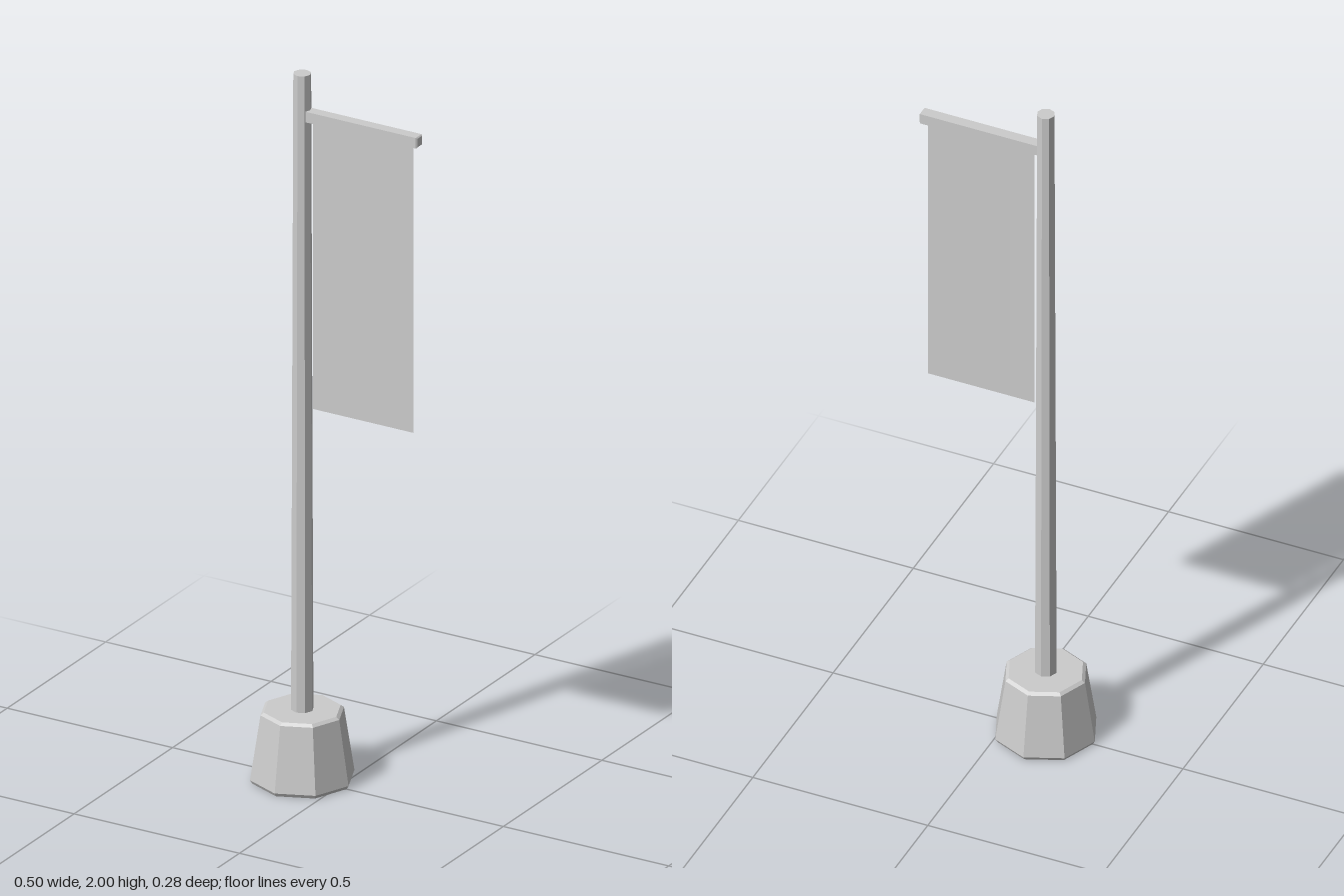
import * as THREE from 'three';

const POLE_X = -0.108;

export function createModel() {
  const model = new THREE.Group();
  model.name = 'bannerStand';

  const grey = new THREE.MeshStandardMaterial({ color: 0xcccccc, flatShading: true, side: THREE.DoubleSide });
  grey.name = 'light grey';

  const add = (name, geometry, x, y, z = 0) => {
    const mesh = new THREE.Mesh(geometry, grey);
    mesh.name = name;
    mesh.position.set(x, y, z);
    model.add(mesh);
    return mesh;
  };

  // Octagonal tapered foot with chamfered rims
  const profile = [[0, 0], [0.134, 0], [0.14, 0.01], [0.112, 0.191], [0.103, 0.198], [0, 0.198]]
    .map(([r, y]) => new THREE.Vector2(r, y));
  add('base', new THREE.LatheGeometry(profile, 8), POLE_X, 0);

  // Slightly tapered octagonal pole
  const poleBottom = 0.19;
  const poleHeight = 2 - poleBottom;
  add('pole', new THREE.CylinderGeometry(0.024, 0.03, poleHeight, 8), POLE_X, poleBottom + poleHeight / 2);

  // Square crossbar with small chamfers, reaching out from the pole
  const bevel = 0.003;
  const half = 0.015 - bevel;
  const square = new THREE.Shape([
    new THREE.Vector2(-half, -half), new THREE.Vector2(half, -half),
    new THREE.Vector2(half, half), new THREE.Vector2(-half, half),
  ]);
  const armStart = -0.1;
  const armEnd = 0.247;
  const arm = new THREE.ExtrudeGeometry(square, {
    depth: armEnd - armStart - 2 * bevel,
    bevelEnabled: true, bevelSize: bevel, bevelThickness: bevel, bevelSegments: 1,
  });
  arm.rotateY(Math.PI / 2);
  add('crossbar', arm, armStart + bevel, 1.885);

  // Flat hanging cloth
  const left = -0.075, right = 0.228, bottom = 1.055, top = 1.875;
  add('banner', new THREE.PlaneGeometry(right - left, top - bottom), (left + right) / 2, (bottom + top) / 2);

  return model;
}
